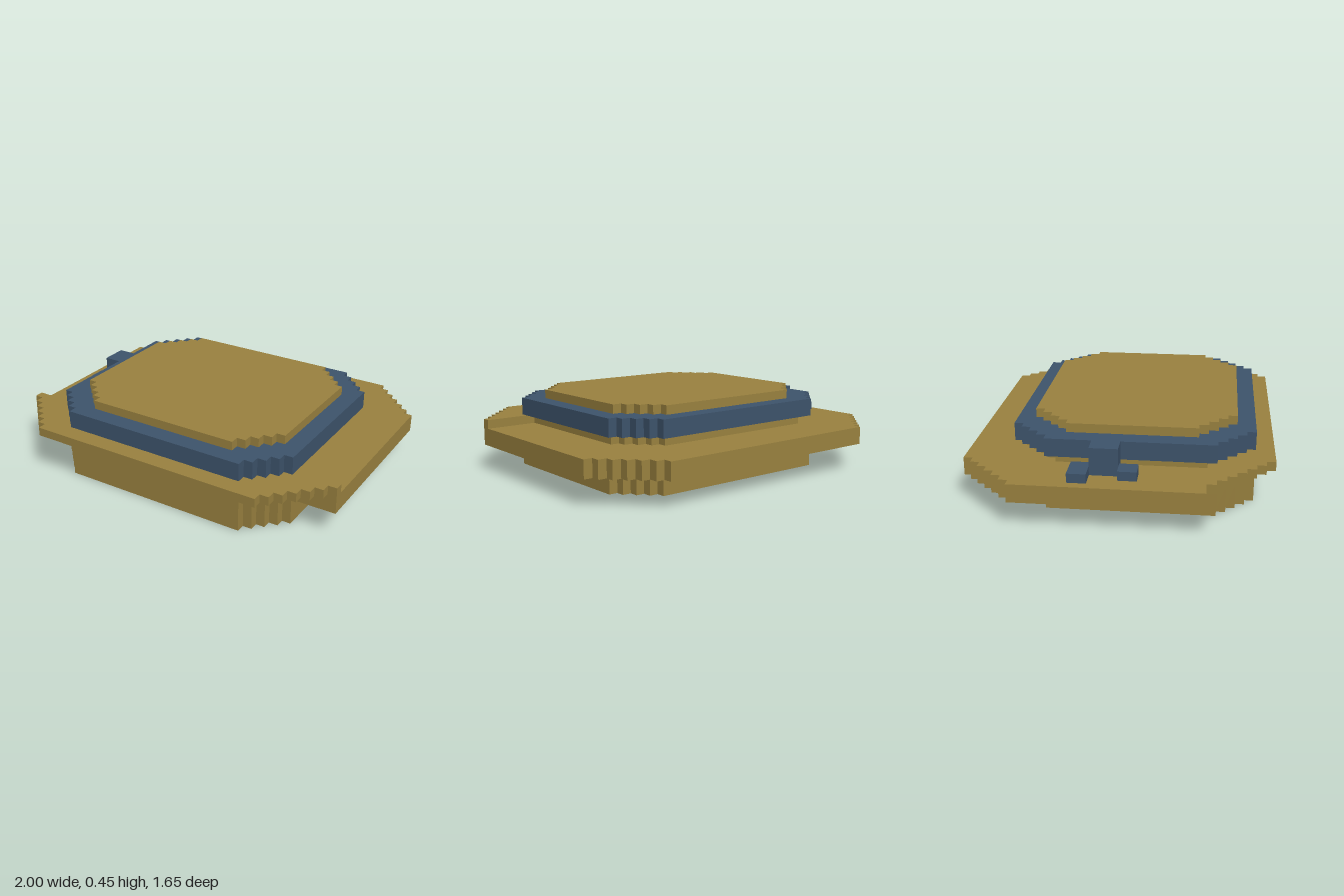
import * as THREE from 'three';

const STEP = 0.05;

// Half outline with stair-stepped corners, running from (+hx, cut) round zEnd to (-hx, cut)
function arc(hx, zEnd, steps, cut) {
  const s = Math.sign(zEnd), zSide = zEnd - s * STEP * steps;
  const half = Math.abs(cut - zSide) > 1e-6 ? [[hx, cut]] : [];
  for (let i = 0; i < steps; i++) {
    const z = zSide + s * STEP * i;
    half.push([hx - STEP * i, z], [hx - STEP * (i + 1), z]);
  }
  half.push([hx - STEP * steps, zEnd]);
  return [...half, ...half.map(([x, z]) => [-x, z]).reverse()];
}

// Two half outlines joined into one closed loop
const join = (a, b) => [...a, ...[...b].reverse()];

const toVectors = (loop) => loop.map(([x, z]) => new THREE.Vector2(x, z));

// Flat horizontal face at height y
function plate(loop, y, holes = []) {
  const shape = new THREE.Shape(toVectors(loop));
  holes.forEach((h) => shape.holes.push(new THREE.Path(toVectors(h))));
  return new THREE.ShapeGeometry(shape).rotateX(Math.PI / 2).translate(0, y, 0);
}

// Vertical skin following a closed loop
function wall(loop, y0, y1) {
  const pos = [];
  loop.forEach(([x, z], i) => {
    const [u, w] = loop[(i + 1) % loop.length];
    if (Math.hypot(u - x, w - z) < 1e-6) return;
    pos.push(x, y0, z, x, y1, z, u, y1, w, x, y0, z, u, y1, w, u, y0, w);
  });
  const g = new THREE.BufferGeometry();
  g.setAttribute('position', new THREE.Float32BufferAttribute(pos, 3));
  g.computeVertexNormals();
  return g;
}

export function createModel() {
  const straw = new THREE.MeshStandardMaterial({ color: 0x99813f, side: THREE.DoubleSide });
  straw.name = 'straw';
  const ribbon = new THREE.MeshStandardMaterial({ color: 0x3d536b, side: THREE.DoubleSide });
  ribbon.name = 'ribbonBlue';

  const model = new THREE.Group();
  model.name = 'hat';
  const add = (name, geometry, material) => {
    const mesh = new THREE.Mesh(geometry, material);
    mesh.name = name;
    model.add(mesh);
  };

  // Half outlines, each cut at a chosen z
  const brimBack = (cut) => arc(1, -0.825, 6, cut);
  const brimFront = (cut) => arc(1, 0.825, 6, cut);
  const crownBack = (cut) => arc(0.75, -0.575, 4, cut);
  const crownFront = (cut) => arc(0.75, 0.725, 4, cut);
  const neckBack = (cut) => arc(0.7, -0.525, 4, cut);
  const crown = join(crownBack(0), crownFront(0));
  const lid = join(arc(0.65, -0.475, 4, 0), arc(0.65, 0.625, 4, 0));

  // Lower crown: a ring open at the bottom
  add('crownRim', plate(crown, 0, [lid]), straw);
  add('crownOuterWall', wall(crown, 0, 0.15), straw);
  add('crownInnerWall', wall(lid, 0, 0.15), straw);

  // Ribbon ends lying on the brim: x0, x1, z0, z1
  const ends = [[-0.95, -0.8, -0.225, -0.125], [-0.9, -0.8, 0.025, 0.125]];
  const endHoles = ends.map(([a, b, c, d]) => [[a, c], [b, c], [b, d], [a, d]]);

  // Lower brim round the back and sides, with the crown front showing ahead of it
  add('lowerBrimUnderside', plate(join(brimBack(0.525), crownBack(0.525)), 0.15), straw);
  add('lowerBrimEdge', wall(join(brimBack(0.525), crownFront(0.525)), 0.15, 0.25), straw);
  add('lowerBrimTop', plate(join(brimBack(0.475), neckBack(0.475)), 0.25, endHoles), straw);

  // Raised front brim and the neck beneath the band
  add('frontBrimUnderside', plate(join(brimFront(0.525), crownFront(0.525)), 0.25), straw);
  add('frontBrimEdge', wall(join(neckBack(0.475), brimFront(0.475)), 0.25, 0.3), straw);
  add('frontBrimTop', plate(join(brimFront(0.475), crownFront(0.475)), 0.3), straw);

  // Ribbon band
  add('bandUnderside', plate(join(crownBack(0.475), neckBack(0.475)), 0.3), ribbon);
  add('bandWall', wall(crown, 0.3, 0.4), ribbon);
  add('bandTop', plate(crown, 0.4, [lid]), ribbon);

  // Lid
  add('lidEdge', wall(lid, 0.4, 0.45), straw);
  add('lidTop', plate(lid, 0.45), straw);

  // Ribbon knot and its two ends
  const block = (name, [x0, x1, z0, z1], y0, y1) => add(name,
    new THREE.BoxGeometry(x1 - x0, y1 - y0, z1 - z0)
      .translate((x0 + x1) / 2, (y0 + y1) / 2, (z0 + z1) / 2), ribbon);
  block('ribbonKnot', [-0.85, -0.75, -0.125, 0.025], 0.25, 0.4);
  ends.forEach((e, i) => block(`ribbonEnd${i + 1}`, e, 0.25, 0.3));

  return model;
}
